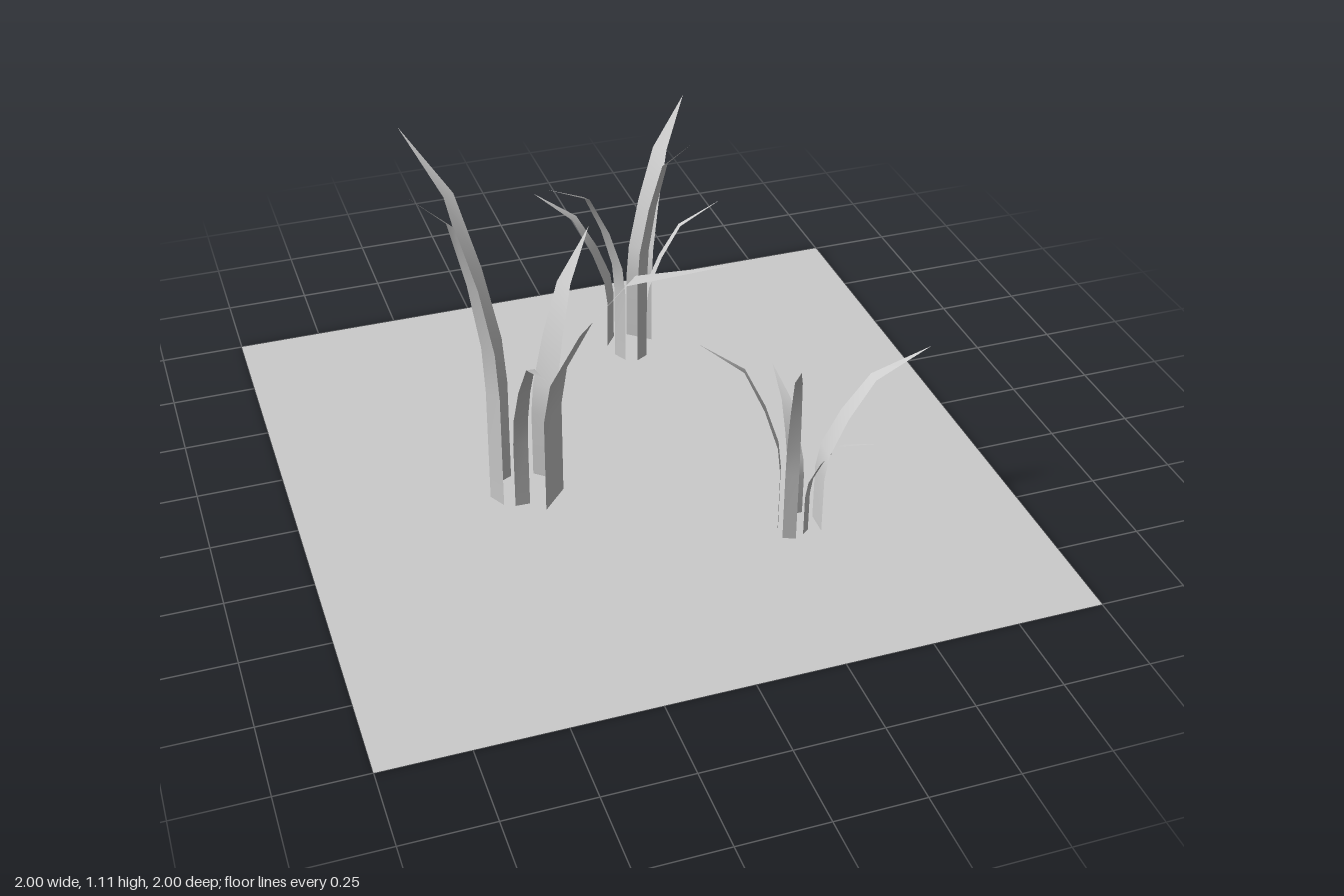
import * as THREE from 'three';

const material = new THREE.MeshStandardMaterial({ color: 0xcccccc, side: THREE.DoubleSide });

// Bend shared by all blades: [share of outward reach, share of height]
const BEND = [[0, 0], [0, 0.33], [0.04, 0.47], [0.21, 0.67], [0.46, 0.87], [1, 1]];

// Flat strip that rises from the root, leans over and tapers to a point
function makeBlade([rootX, rootZ, tipX, tipZ, height, width]) {
  const dx = tipX - rootX, dz = tipZ - rootZ;
  const reach = Math.hypot(dx, dz);
  const sideX = -dz / reach, sideZ = dx / reach;
  const positions = [], index = [];
  BEND.forEach(([out, up], i) => {
    const half = (width / 2) * (1 - out);
    const sides = i === BEND.length - 1 ? [0] : [-half, half];
    for (const s of sides) {
      positions.push(rootX + dx * out + sideX * s, height * up, rootZ + dz * out + sideZ * s);
    }
    const a = i * 2;
    if (i < BEND.length - 2) index.push(a, a + 2, a + 1, a + 1, a + 2, a + 3);
    else if (i === BEND.length - 2) index.push(a, a + 2, a + 1);
  });
  const geometry = new THREE.BufferGeometry();
  geometry.setAttribute('position', new THREE.Float32BufferAttribute(positions, 3));
  geometry.setIndex(index);
  geometry.computeVertexNormals();
  return new THREE.Mesh(geometry, material);
}

// Each blade: root x, root z, tip x, tip z, height, width
const TUFTS = {
  largeTuft: [
    [-0.39, -0.045, -0.56, -0.41, 1.01, 0.065],
    [-0.265, -0.025, -0.04, -0.295, 0.66, 0.078],
    [-0.27, 0.09, 0.115, 0.45, 0.92, 0.11],
    [-0.365, 0.085, -0.38, 0.43, 0.655, 0.043],
    [-0.43, 0.045, -0.665, 0.17, 1.11, 0.057],
  ],
  backTuft: [
    [0.14, -0.66, -0.065, -0.815, 0.5, 0.06],
    [0.235, -0.655, 0.485, -0.96, 0.69, 0.086],
    [0.23, -0.585, 0.48, -0.59, 0.5, 0.03],
    [0.205, -0.535, 0.3, -0.36, 0.84, 0.043],
    [0.14, -0.56, -0.13, -0.42, 0.73, 0.048],
  ],
  smallTuft: [
    [0.295, 0.41, 0.08, 0.31, 0.6, 0.036],
    [0.36, 0.37, 0.36, 0.165, 0.39, 0.05],
    [0.405, 0.432, 0.715, 0.44, 0.545, 0.07],
    [0.36, 0.457, 0.48, 0.62, 0.39, 0.026],
    [0.305, 0.47, 0.255, 0.61, 0.66, 0.038],
  ],
};

export function createModel() {
  const model = new THREE.Group();
  model.name = 'grassPatch';

  // Flat square of ground
  const ground = new THREE.Mesh(new THREE.PlaneGeometry(2, 2).rotateX(-Math.PI / 2), material);
  ground.name = 'ground';
  model.add(ground);

  // Three tufts of five blades
  for (const [name, blades] of Object.entries(TUFTS)) {
    const tuft = new THREE.Group();
    tuft.name = name;
    blades.forEach((spec, i) => {
      const blade = makeBlade(spec);
      blade.name = `blade${i + 1}`;
      tuft.add(blade);
    });
    model.add(tuft);
  }
  return model;
}
